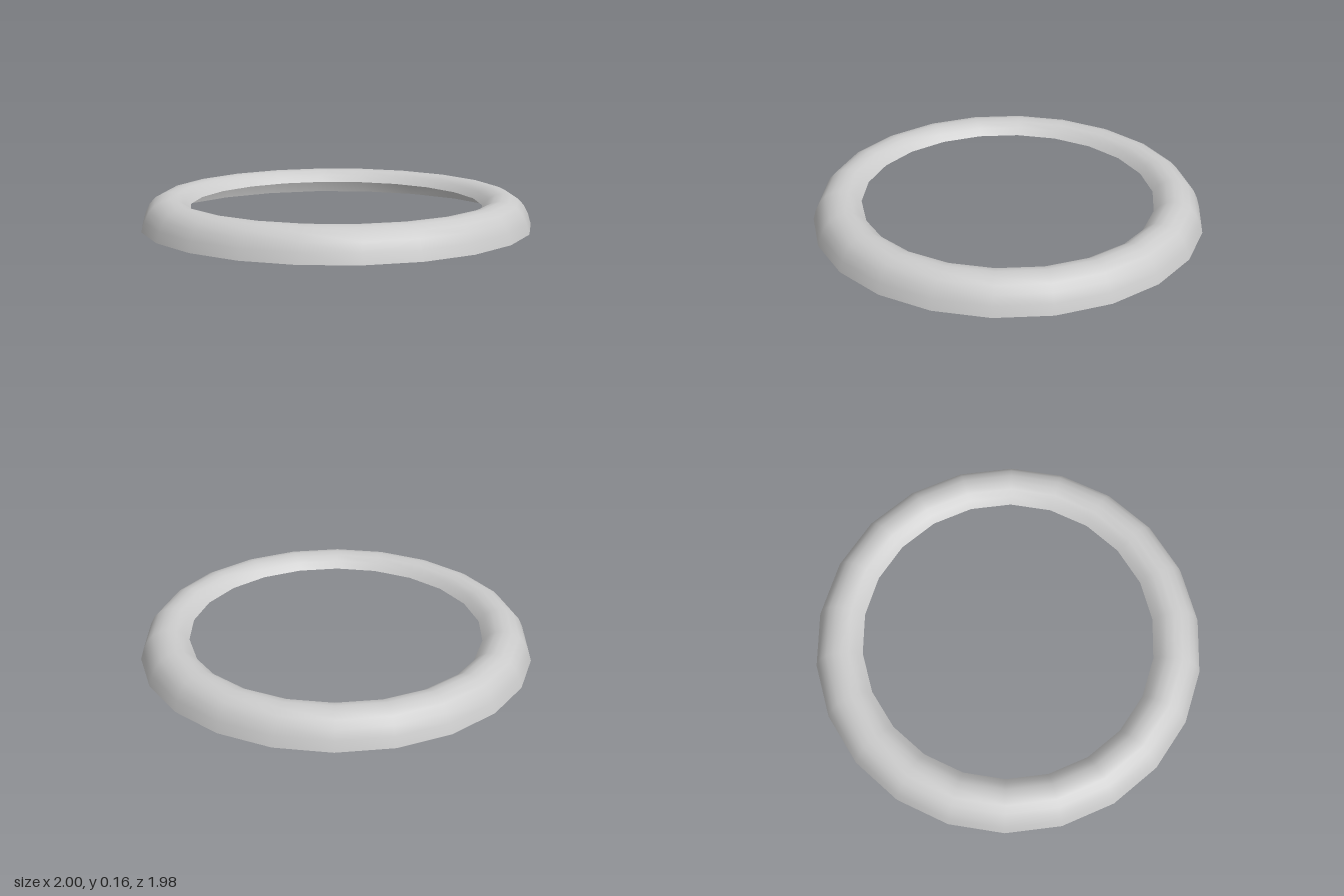
import * as THREE from 'three';

// Open-bottomed ring: a rounded shell profile revolved in 22 straight segments
export function createModel() {
  const group = new THREE.Group();
  group.name = 'ring';

  // Profile (radius, height): outer foot, over the crown, down to the inner lip
  const profile = [
    [1.0, 0], [0.985, 0.052], [0.963, 0.097], [0.933, 0.13], [0.895, 0.15],
    [0.855, 0.157], [0.815, 0.15], [0.78, 0.129], [0.75, 0.095],
  ].map(([r, y]) => new THREE.Vector2(r, y));

  // Starting at +x puts corners on the x axis and flat sides to front and back
  const geometry = new THREE.LatheGeometry(profile, 22, Math.PI / 2);
  const shell = new THREE.Mesh(
    geometry,
    new THREE.MeshStandardMaterial({ color: 0xcccccc, side: THREE.DoubleSide })
  );
  shell.name = 'ringShell';
  group.add(shell);
  return group;
}
